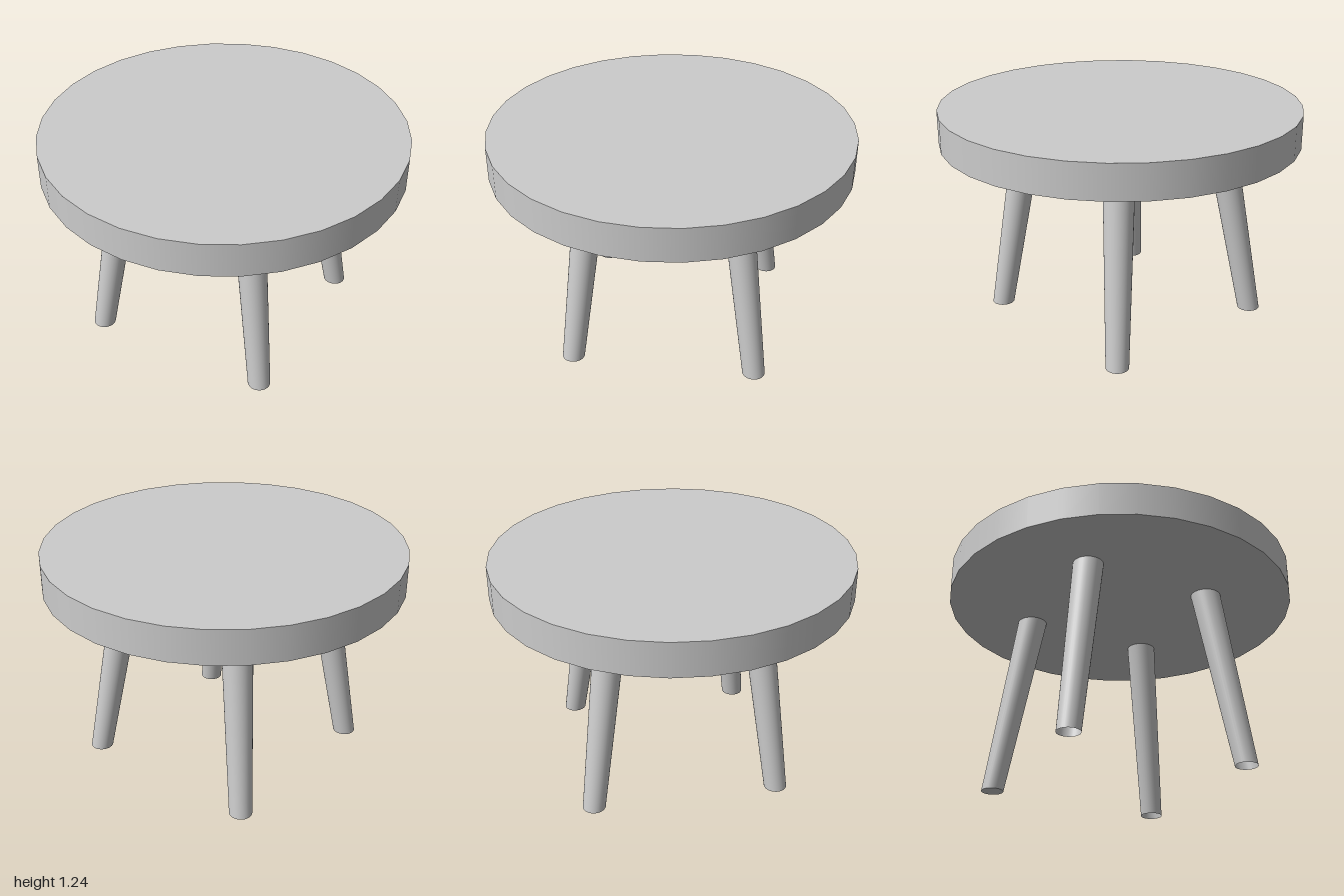
import * as THREE from 'three';

const SEAT_BOTTOM = 1.05;
const SEAT_TOP = 1.24;

export function createModel() {
  const stool = new THREE.Group();
  stool.name = 'stool';
  const material = new THREE.MeshStandardMaterial({ color: 0xcccccc, side: THREE.DoubleSide });

  const add = (name, geometry) => {
    const mesh = new THREE.Mesh(geometry, material);
    mesh.name = name;
    stool.add(mesh);
    return mesh;
  };

  // Round seat
  const thickness = SEAT_TOP - SEAT_BOTTOM;
  add('seat', new THREE.CylinderGeometry(1, 1, thickness, 32))
    .position.y = SEAT_BOTTOM + thickness / 2;

  // Tapered leg, sheared so that its foot stays flat on the floor
  function addLeg(name, foot, head, open) {
    const leg = new THREE.CylinderGeometry(0.085, 0.063, SEAT_BOTTOM, 32, 1, open);
    leg.translate(0, SEAT_BOTTOM / 2, 0);
    const slopeX = (head[0] - foot[0]) / SEAT_BOTTOM;
    const slopeZ = (head[1] - foot[1]) / SEAT_BOTTOM;
    leg.applyMatrix4(new THREE.Matrix4().set(
      1, slopeX, 0, foot[0],
      0, 1, 0, 0,
      0, slopeZ, 1, foot[1],
      0, 0, 0, 1
    ));
    add(name, leg);
  }

  // Four splayed legs, set slightly off centre; only the back right one has a closed foot
  for (const [sideName, footX, headX] of [['Left', 0.5, 0.36], ['Right', -0.54, -0.395]]) {
    for (const [endName, footZ, headZ] of [['front', 0.493, 0.38], ['back', -0.537, -0.395]]) {
      const open = !(sideName === 'Right' && endName === 'back');
      addLeg(`${endName}${sideName}Leg`, [footX, footZ], [headX, headZ], open);
    }
  }

  return stool;
}
